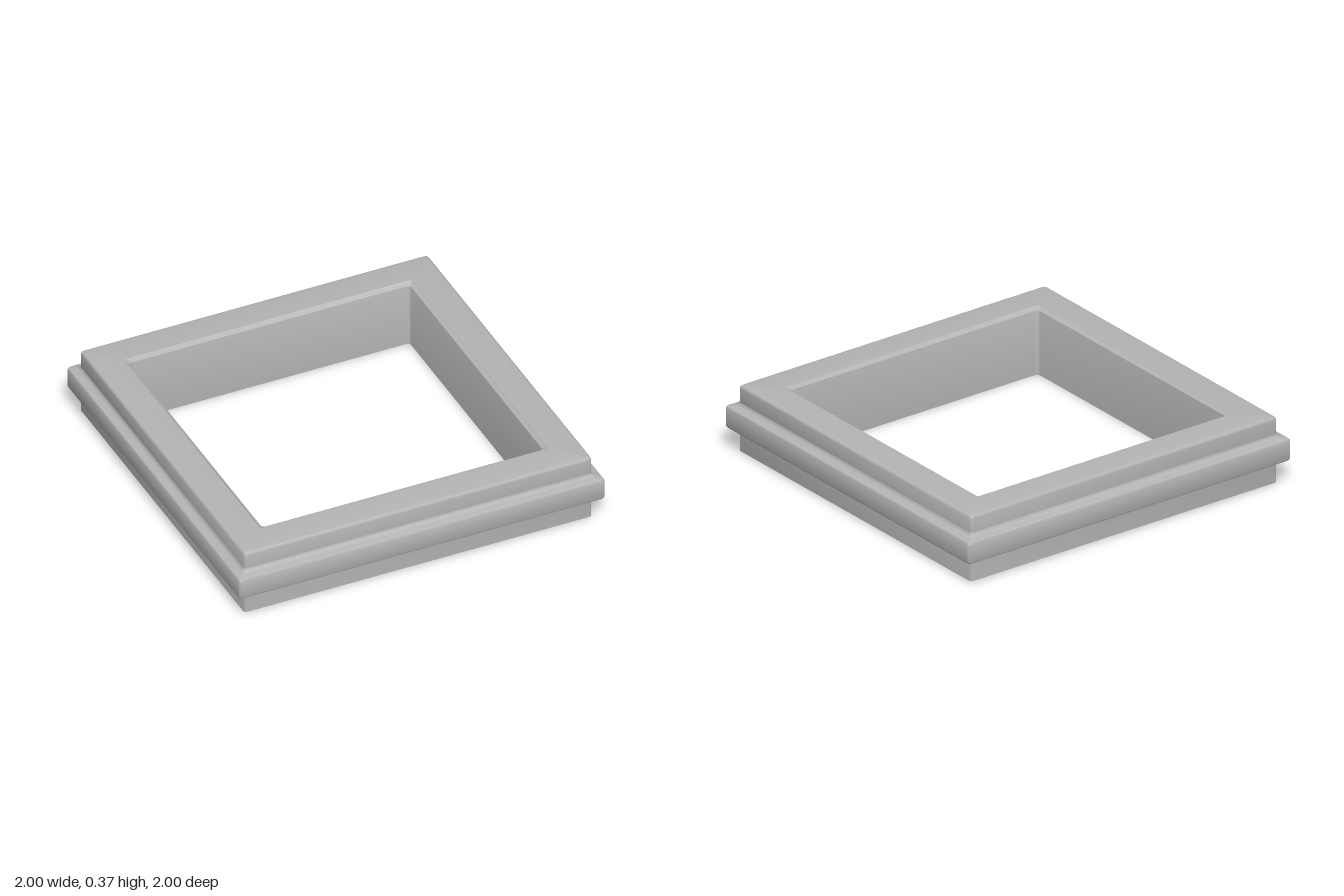
import * as THREE from 'three';
import { toCreasedNormals } from 'three/addons/utils/BufferGeometryUtils.js';

const CORNER = 0.018; // corner rounding radius
const STEPS = 4; // segments per rounded corner

// Rounded square outline with half-width r, running from +x towards +z
function ring(r, y) {
  const pts = [];
  for (let q = 0; q < 4; q++) {
    const mid = (q + 0.5) * Math.PI / 2;
    const cx = Math.sign(Math.cos(mid)) * (r - CORNER);
    const cz = Math.sign(Math.sin(mid)) * (r - CORNER);
    for (let s = 0; s <= STEPS; s++) {
      const a = (q + s / STEPS) * Math.PI / 2;
      pts.push(cx + CORNER * Math.cos(a), y, cz + CORNER * Math.sin(a));
    }
  }
  return pts;
}

// Sweep a profile of [half-width, height] points around the square
function sweep(name, profile, material) {
  const n = 4 * (STEPS + 1);
  const positions = profile.flatMap(([r, y]) => ring(r, y));
  const index = [];
  for (let j = 0; j < profile.length - 1; j++) {
    for (let i = 0; i < n; i++) {
      const k = (i + 1) % n;
      const a = j * n + i, b = (j + 1) * n + i, c = (j + 1) * n + k, d = j * n + k;
      index.push(a, b, c, a, c, d);
    }
  }
  const geometry = new THREE.BufferGeometry();
  geometry.setAttribute('position', new THREE.Float32BufferAttribute(positions, 3));
  geometry.setIndex(index);
  const mesh = new THREE.Mesh(toCreasedNormals(geometry, 0.6), material);
  mesh.name = name;
  return mesh;
}

export function createModel() {
  const grey = new THREE.MeshStandardMaterial({ color: 0xb4b4b4, side: THREE.DoubleSide });
  grey.name = 'plain grey';

  const group = new THREE.Group();
  group.name = 'squareFrame';

  // Straight outer wall below the band, open underneath
  group.add(sweep('lowerSkirt', [[0.95, 0.008], [0.95, 0.105]], grey));

  // Projecting band with coved transitions above and below
  group.add(sweep('projectingBand', [
    [0.95, 0.105], [0.953, 0.115], [0.961, 0.122], [0.97, 0.125],
    [0.985, 0.128], [0.996, 0.133], [1, 0.143],
    [1, 0.236], [0.996, 0.245], [0.985, 0.25],
    [0.97, 0.253], [0.961, 0.256], [0.953, 0.263], [0.95, 0.273],
  ], grey));

  // Upper wall, rounded over into the flat top
  group.add(sweep('upperCollar', [
    [0.95, 0.273], [0.95, 0.349], [0.947, 0.358], [0.941, 0.363], [0.932, 0.365],
    [0.787, 0.365],
  ], grey));

  // Softened inner lip and the wall lining the opening
  group.add(sweep('openingLining', [
    [0.787, 0.365], [0.781, 0.358], [0.772, 0.355], [0.766, 0.35], [0.764, 0.342],
    [0.764, 0],
  ], grey));

  return group;
}
